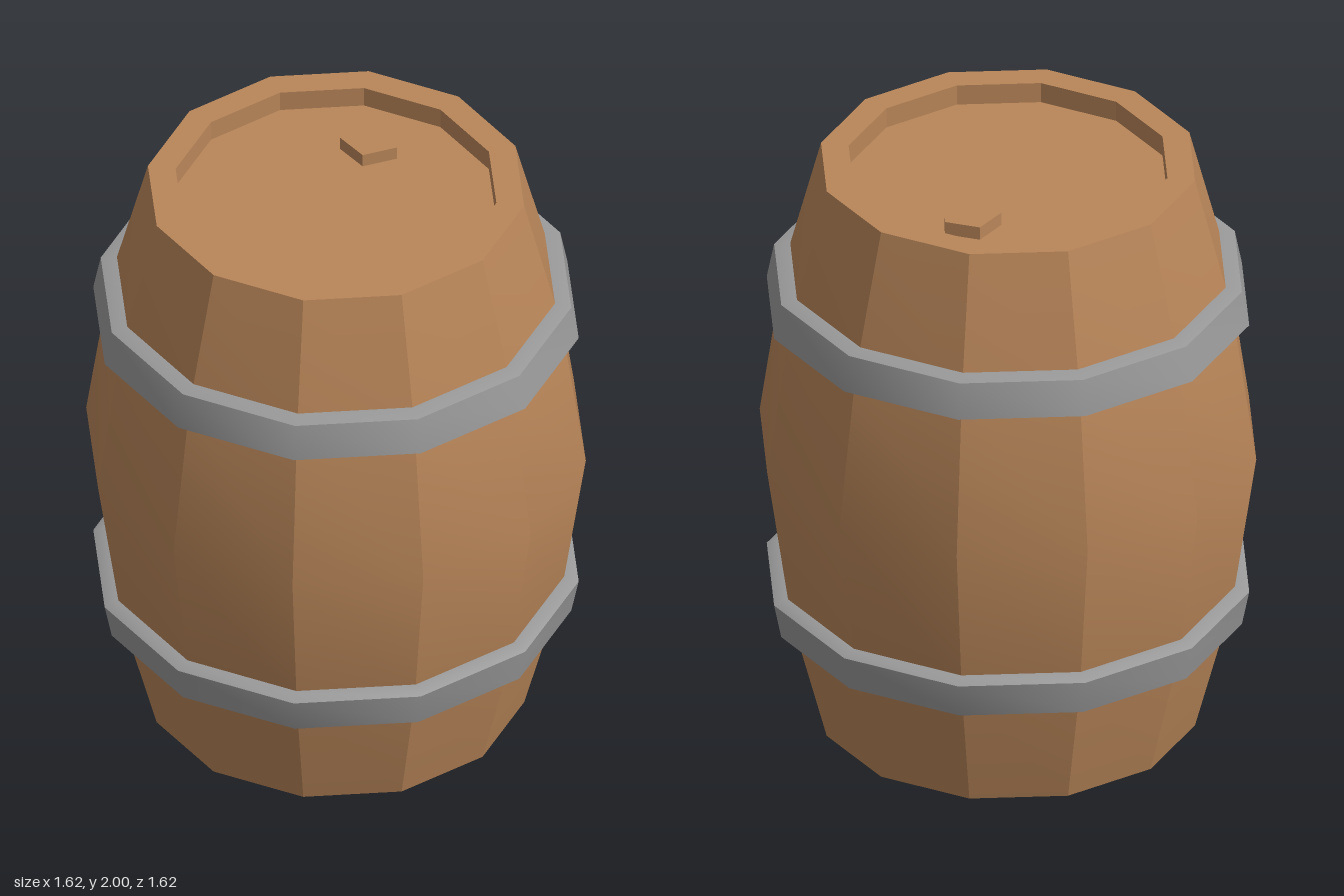
import * as THREE from 'three';
import { toCreasedNormals } from 'three/addons/utils/BufferGeometryUtils.js';

const SIDES = 12;

// Twelve-sided turned part; profile runs counter-clockwise in (radius, height)
function turned(name, profile, material, creaseDegrees) {
  const points = profile.map(([r, y]) => new THREE.Vector2(r, y));
  const geometry = toCreasedNormals(
    new THREE.LatheGeometry(points, SIDES), THREE.MathUtils.degToRad(creaseDegrees));
  const mesh = new THREE.Mesh(geometry, material);
  mesh.name = name;
  return mesh;
}

export function createModel() {
  const wood = new THREE.MeshStandardMaterial({ color: 0xb98659 });
  wood.name = 'wood';
  const iron = new THREE.MeshStandardMaterial({ color: 0x999999 });
  iron.name = 'iron';

  const barrel = new THREE.Group();
  barrel.name = 'barrel';

  // Bulging staves with a recessed head at both ends
  const staves = [
    [0, 0.07], [0.52, 0.07], [0.52, 0], [0.61, 0], [0.73, 0.455], [0.81, 1],
    [0.73, 1.545], [0.61, 2], [0.52, 2], [0.52, 1.93], [0, 1.93],
  ];
  barrel.add(turned('barrelBody', staves, wood, 25));

  // Tapered hoops; the lower one mirrors the upper one
  const hoop = [[0.71, 1.475], [0.752, 1.475], [0.787, 1.49], [0.763, 1.61], [0.72, 1.62], [0.69, 1.62]];
  barrel.add(turned('upperHoop', hoop, iron, 35));
  const mirrored = hoop.map(([r, y]) => [r, 2 - y]).reverse();
  barrel.add(turned('lowerHoop', mirrored, iron, 35));

  // Five-sided bung on the top head
  const bung = new THREE.Mesh(
    toCreasedNormals(new THREE.CylinderGeometry(0.1, 0.1, 0.06, 5), 0.4), wood);
  bung.name = 'bung';
  bung.rotation.y = Math.PI;
  bung.position.set(0.205, 1.945, -0.233);
  barrel.add(bung);

  return barrel;
}
